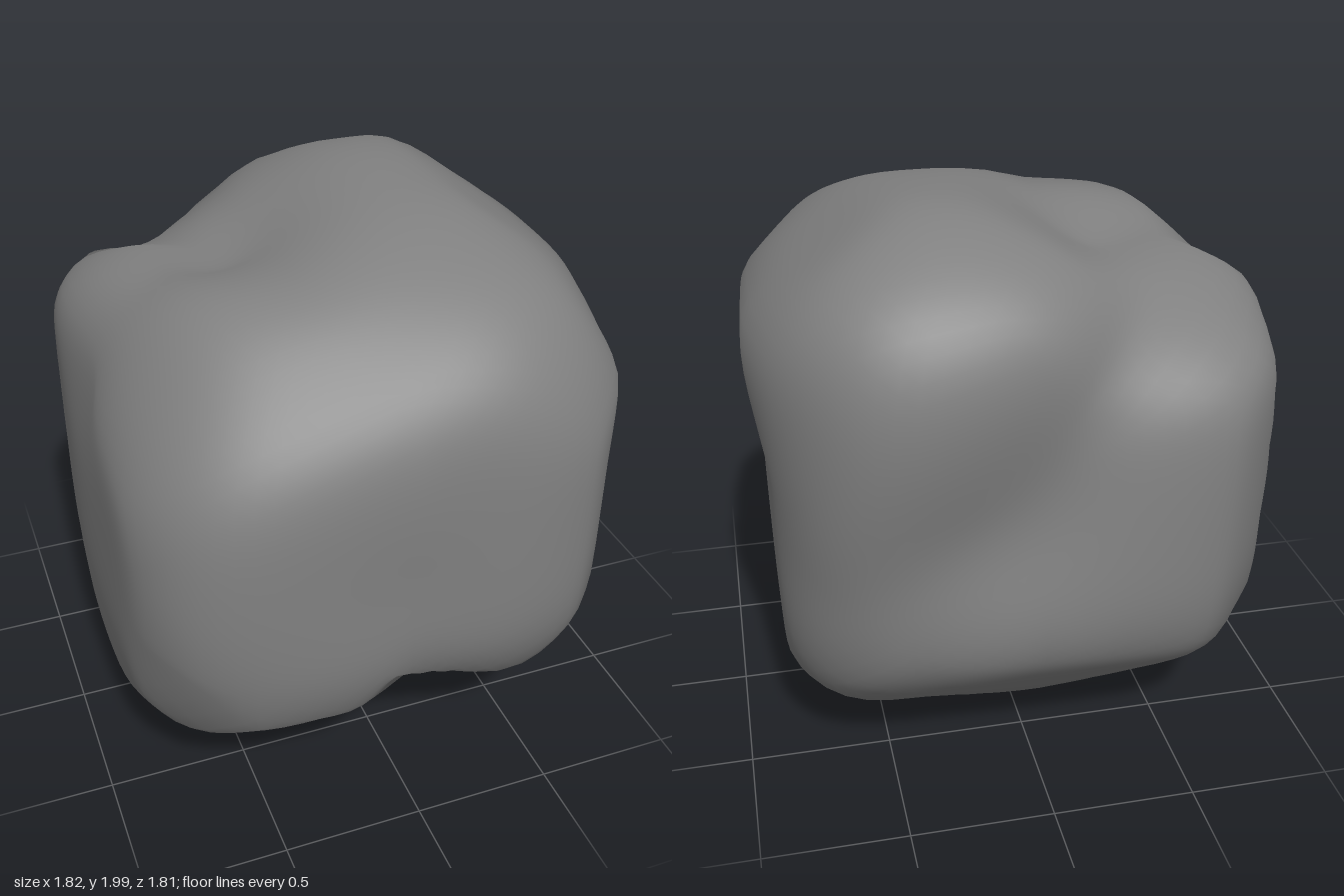
import * as THREE from 'three';
import { mergeVertices } from 'three/addons/utils/BufferGeometryUtils.js';

// Outlines of the boulder around its middle, as u, v pairs
const front = [0.38, 1, 0.14, 0.97, -0.2, 0.82, -0.58, 0.8, -0.86, 0.63, -0.88, 0.48, -0.91, -0.23, -0.88, -0.7,
  -0.8, -0.86, -0.2, -1, -0.15, -0.99, 0.36, -0.76, 0.83, -0.76, 0.84, 0.1, 0.91, 0.48, 0.89, 0.66];
const side = [0.33, 1, 0.5, 0.96, 0.83, 0.73, 0.92, 0.5, 0.85, -0.03, 0.87, -0.4, 0.85, -0.46, 0.48, -0.87,
  0.21, -0.98, -0.21, -1, -0.6, -0.78, -0.9, -0.53, -0.92, -0.35, -0.87, 0.66, -0.71, 0.77, -0.24, 0.93];
const plan = [-0.61, 0.84, 0.2, 0.87, 0.54, 0.92, 0.71, 0.78, 0.82, 0.55, 0.91, 0.29, 0.84, -0.68, 0.68, -0.87,
  0.14, -0.91, -0.58, -0.87, -0.75, -0.82, -0.86, -0.7, -0.91, 0.07, -0.86, 0.58];
const diagonalA = [-0.34, 1.01, -0.11, 0.91, 0.41, 1.04, 0.73, 0.91, 0.99, 0.73, 1.06, 0.11, 1, -0.51, 0.8, -0.83,
  0.3, -0.96, -0.28, -0.92, -0.52, -0.86, -0.95, -0.62, -1.05, -0.52, -1.01, -0.44, -1.11, -0.28, -1.07, 0.2,
  -1.02, 0.35, -0.61, 0.81];
const diagonalB = [-1, 0.63, -0.81, 0.79, -0.17, 1.04, 0.16, 1.05, 0.49, 0.83, 1.03, 0.42, 1.08, 0.21, 1.11, -0.21,
  1, -0.36, 1.05, -0.53, 0.73, -0.93, 0.34, -1.04, -0.33, -0.94, -0.79, -0.7, -0.99, -0.5, -1.06, -0.07];
const diagonalC = [-0.05, 1.18, 0.46, 1, 0.68, 0.78, 0.69, 0.58, 1.04, 0.51, 1.03, 0.16, 0.98, -0.48, 0.75, -0.85,
  0.54, -1.06, 0.32, -1.08, -0.2, -0.98, -0.46, -0.85, -0.56, -0.68, -0.9, -0.68, -1.07, -0.4, -1.1, 0.42,
  -0.61, 0.92];
const diagonalD = [1.07, 0.4, 0.75, 0.82, 0, 1.07, -0.75, 0.82, -1.05, 0.4, -1.05, -0.4, -0.75, -0.8, 0, -1.05,
  0.75, -0.8, 1.07, -0.4];

// Pair an outline with the direction it is cut along
function cutter(outline, x, y, z) {
  const axis = new THREE.Vector3(x, y, z).normalize();
  const right = new THREE.Vector3(0, 1, 0).cross(axis);
  if (right.length() < 0.01) right.set(1, 0, 0);
  right.normalize();
  return { outline, right, up: axis.clone().cross(right) };
}
const tilt = Math.SQRT2 * Math.tan(25 * Math.PI / 180);
const cutters = [
  cutter(front, 0, 0, 1), cutter(side, 1, 0, 0), cutter(plan, 0, 1, 0),
  cutter(diagonalA, 1, tilt, 1), cutter(diagonalB, -1, tilt, -1),
  cutter(diagonalC, 1, -tilt, -1), cutter(diagonalD, 1, tilt, -1),
];

// Distance along (u, v) at which a ray from the middle leaves the outline
function reach(outline, u, v) {
  let best = 50;
  for (let i = 0, n = outline.length; i < n; i += 2) {
    const ax = outline[i], ay = outline[i + 1];
    const ex = outline[(i + 2) % n] - ax, ey = outline[(i + 3) % n] - ay;
    const det = u * ey - v * ex;
    if (Math.abs(det) < 1e-9) continue;
    const t = (ax * ey - ay * ex) / det;
    const s = (ax * v - ay * u) / det;
    if (t > 0 && s >= -1e-6 && s <= 1 + 1e-6) best = Math.min(best, t);
  }
  return best;
}

// Worn hollows: path start, path end, width, depth
const hollow = (a, b, width, depth) =>
  ({ line: new THREE.Line3(new THREE.Vector3(...a), new THREE.Vector3(...b)), width, depth });
const hollows = [
  hollow([-0.25, 0.4, -0.78], [0.5, -0.3, -0.85], 0.24, 0.1),   // back valley
  hollow([-0.32, 0.75, -0.6], [-0.35, 0.75, -0.1], 0.2, 0.06),  // top valley
  hollow([-0.45, 0.72, -0.08], [-0.8, 0.48, 0], 0.18, 0.09),    // top left valley
  hollow([0, -0.1, 0.88], [0.15, -0.5, 0.84], 0.16, 0.03),      // front crease
];

// Average each vertex's value with its neighbours
function soften(attribute, index, amount) {
  const sum = new Float32Array(attribute.count * 3), count = new Float32Array(attribute.count);
  for (let i = 0; i < index.length; i++) {
    const a = index[i], b = index[i % 3 === 2 ? i - 2 : i + 1];
    for (let k = 0; k < 3; k++) sum[a * 3 + k] += attribute.array[b * 3 + k];
    count[a]++;
  }
  for (let i = 0; i < sum.length; i++) {
    attribute.array[i] += (sum[i] / count[Math.floor(i / 3)] - attribute.array[i]) * amount;
  }
}

function boulderGeometry() {
  let geometry = new THREE.IcosahedronGeometry(1, 19);
  geometry.deleteAttribute('normal');
  geometry.deleteAttribute('uv');
  geometry = mergeVertices(geometry, 1e-4);
  const p = geometry.attributes.position, index = geometry.index.array;
  const d = new THREE.Vector3(), point = new THREE.Vector3(), near = new THREE.Vector3();
  for (let i = 0; i < p.count; i++) {
    d.fromBufferAttribute(p, i).normalize();
    // Soft minimum over all the cuts
    let total = 0;
    for (const c of cutters) total += Math.pow(reach(c.outline, d.dot(c.right), d.dot(c.up)), -60);
    let r = 1.013 * Math.pow(total, -1 / 60);
    point.copy(d).multiplyScalar(r);
    for (const h of hollows) {
      h.line.closestPointToPoint(point, true, near);
      r -= h.depth * Math.exp(-near.distanceToSquared(point) / (h.width * h.width));
    }
    p.setXYZ(i, d.x * r, d.y * r, d.z * r);
  }
  soften(p, index, 0.5);

  // Stand it on the ground, with gently blended shading
  geometry.computeBoundingBox();
  geometry.translate(0, -geometry.boundingBox.min.y, 0);
  geometry.computeVertexNormals();
  for (let i = 0; i < 12; i++) soften(geometry.attributes.normal, index, 0.7);
  geometry.normalizeNormals();
  return geometry;
}

export function createModel() {
  const group = new THREE.Group();
  const boulder = new THREE.Mesh(boulderGeometry(), new THREE.MeshStandardMaterial({ color: 0x808080 }));
  boulder.name = 'boulder';
  group.add(boulder);
  return group;
}
